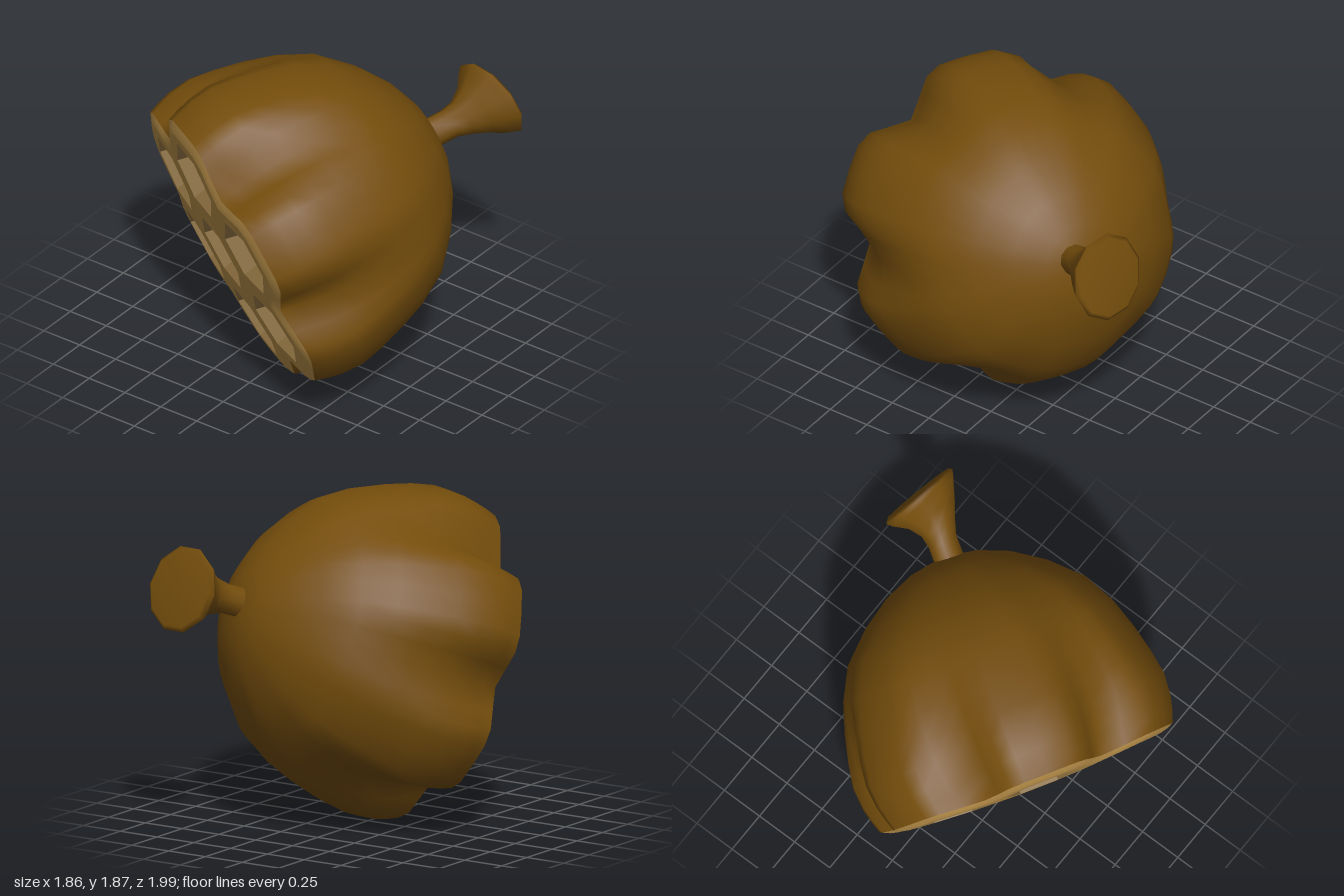
import * as THREE from 'three';

const V = (x, y, z) => new THREE.Vector3(x, y, z);
const RAD = Math.PI / 180;

// Smooth skin through closed rings of points that advance along their -z side; optional end point
function loft(rings, tip) {
  const n = rings[0].length, pts = rings.flat(), index = [];
  for (let i = 0; i < rings.length - 1; i++) {
    for (let j = 0; j < n; j++) {
      const a = i * n + j, b = i * n + (j + 1) % n;
      index.push(a, a + n, b, b, a + n, b + n);
    }
  }
  if (tip) {
    const s = (rings.length - 1) * n;
    pts.push(tip);
    for (let j = 0; j < n; j++) index.push(s + j, pts.length - 1, s + (j + 1) % n);
  }
  const g = new THREE.BufferGeometry().setFromPoints(pts);
  g.setIndex(index);
  g.computeVertexNormals();
  return g;
}

// Six-lobed outline as [angle, radius]
const LOBE = [[-21, 0.79], [-15, 0.872], [-9, 0.9], [0, 0.895], [9, 0.9], [15, 0.872], [21, 0.79], [30, 0.71]];
const outline = [];
for (let k = 0; k < 6; k++) {
  for (const [a, r] of LOBE) outline.push([(30 + 60 * k + a) * RAD, r]);
}
const ring = (z, radius) => outline.map(([a, r]) => V(Math.cos(a) * radius(r), Math.sin(a) * radius(r), z));

// The comb face bulges gently outward
const bulge = (x, y) => 0.055 * (1 - (x * x + y * y) / 0.81);
const bulgedRing = (z, radius) => ring(z, radius).map((p) => p.setZ(z + bulge(p.x, p.y)));

const SPACING = 0.552, CELL = 0.229, DEPTH = 0.6, INSET = 0.08, LIFT = 0.02;

export function createModel() {
  const shell = new THREE.MeshStandardMaterial({ color: 0x744d0c });
  shell.name = 'brown shell';
  const wax = new THREE.MeshStandardMaterial({ color: 0xb78e48 });
  wax.name = 'tan rim';
  const hollow = new THREE.MeshStandardMaterial({ color: 0x84693c, flatShading: true, side: THREE.DoubleSide });
  hollow.name = 'dull cell';

  const model = new THREE.Group();
  const add = (parent, name, geometry, material) => {
    const mesh = new THREE.Mesh(geometry, material);
    mesh.name = name;
    parent.add(mesh);
    return mesh;
  };

  // Tilted nest: local +z points out of the comb face
  const nest = new THREE.Group();
  nest.name = 'nest';
  const out = V(-0.465, -0.343, 0.816).normalize();
  const right = V(-0.142, 0.938, 0.313).cross(out).normalize();
  const up = out.clone().cross(right);
  nest.quaternion.setFromRotationMatrix(new THREE.Matrix4().makeBasis(right, up, out));
  nest.rotateZ(0.022);
  nest.position.set(-0.138, 0.845, 0.476);
  model.add(nest);

  // Domed body with folds fading backward: [depth, radius, lobe strength]
  const profile = [
    [0.07, 0.925, 0.98], [0.15, 0.945, 0.92], [0.28, 0.955, 0.78], [0.42, 0.93, 0.58], [0.58, 0.885, 0.38],
    [0.76, 0.82, 0.2], [0.94, 0.72, 0.1], [1.1, 0.55, 0.05], [1.22, 0.37, 0], [1.29, 0.2, 0],
  ];
  const rings = profile.map(([t, R, k]) => ring(-t, (r) => R * (1 + (r / 0.9 - 1) * k)));
  add(nest, 'body', loft([bulgedRing(0, (r) => r), ...rings], V(0, 0, -1.325)), shell);

  // Softly sloped rim of the comb
  const bevel = [[LIFT, INSET], [0.014, 0.04], [0, 0]];
  add(nest, 'combRim', loft(bevel.map(([z, inset]) => bulgedRing(z, (r) => r - inset))), wax);

  // Comb face with seven hexagonal holes
  const centers = [V(0, 0, 0)];
  for (let k = 0; k < 6; k++) {
    const a = (30 + 60 * k) * RAD;
    centers.push(V(SPACING * Math.cos(a), SPACING * Math.sin(a), 0));
  }
  const face = new THREE.Shape(ring(0, (r) => r - INSET).map((p) => new THREE.Vector2(p.x, p.y)));
  for (const c of centers) {
    const hex = [];
    for (let k = 0; k < 6; k++) {
      hex.push(new THREE.Vector2(c.x + CELL * Math.cos(k * 60 * RAD), c.y + CELL * Math.sin(k * 60 * RAD)));
    }
    face.holes.push(new THREE.Path(hex));
  }
  const faceGeometry = new THREE.ShapeGeometry(face);
  const fp = faceGeometry.attributes.position;
  for (let i = 0; i < fp.count; i++) fp.setZ(i, LIFT + bulge(fp.getX(i), fp.getY(i)));
  faceGeometry.computeVertexNormals();
  add(nest, 'combFace', faceGeometry, wax);

  // Tapering cell pits whose mouths follow the bulged face
  for (const c of centers) {
    const pit = new THREE.ConeGeometry(CELL, DEPTH, 6, 1, true);
    pit.rotateX(-Math.PI / 2).rotateZ(Math.PI / 6).translate(c.x, c.y, -DEPTH / 2);
    const p = pit.attributes.position;
    for (let i = 0; i < p.count; i++) p.setZ(i, p.getZ(i) + LIFT + bulge(p.getX(i), p.getY(i)));
    add(nest, 'cell', pit, hollow);
  }

  // Flared stalk at the back: [center, direction blend, radius]
  const root = V(0.42, 0.34, -0.84), end = V(0.17, 0.31, -0.94);
  const stations = [
    [V(0.485, 1.303, -0.555), 0, 0.088], [V(0.54, 1.34, -0.65), 0.1, 0.088], [V(0.585, 1.362, -0.715), 0.3, 0.11],
    [V(0.62, 1.388, -0.79), 0.6, 0.16], [V(0.642, 1.415, -0.87), 1, 0.23],
    [V(0.648, 1.424, -0.9), 1, 0.25], [V(0.652, 1.43, -0.918), 1, 0.225],
  ];
  const stalkRings = stations.map(([c, mix, r]) => {
    const dir = root.clone().lerp(end, mix).normalize();
    const q = new THREE.Quaternion().setFromUnitVectors(V(0, 0, -1), dir);
    return Array.from({ length: 10 }, (_, j) =>
      V(r * Math.cos(j * 36 * RAD), r * Math.sin(j * 36 * RAD), 0).applyQuaternion(q).add(c));
  });
  add(model, 'stalk', loft(stalkRings, V(0.653, 1.432, -0.922)), shell);

  return model;
}
